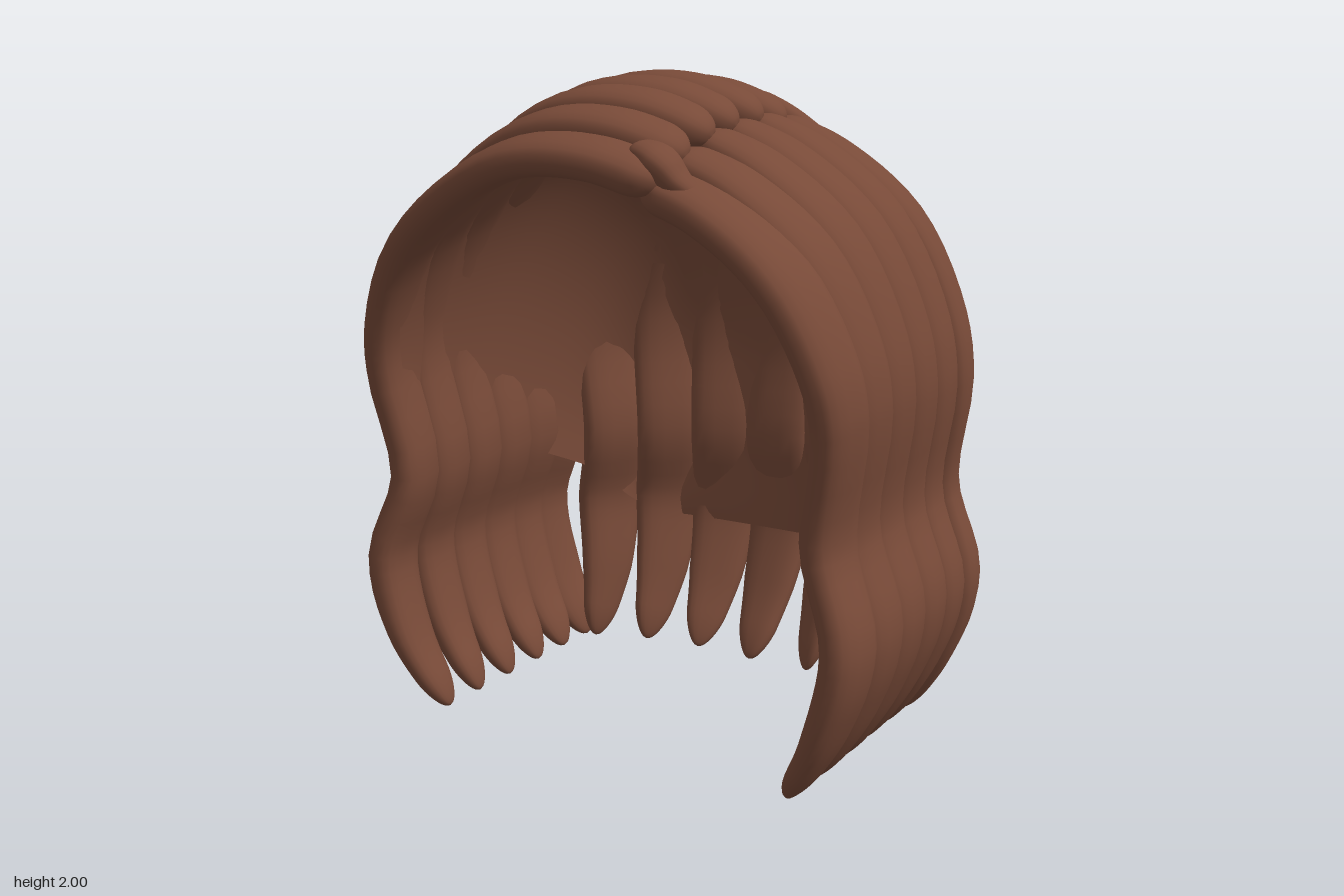
import * as THREE from 'three';

const hair = new THREE.MeshStandardMaterial({ color: 0x784a38, side: THREE.DoubleSide });
hair.name = 'brown hair';

// Indexed surface from rows of points; closed rows wrap around
function loft(rows, closed) {
  const n = rows[0].length, pos = [], idx = [];
  for (const row of rows) for (const p of row) pos.push(p.x, p.y, p.z);
  for (let i = 0; i < rows.length - 1; i++) {
    for (let j = 0; j < (closed ? n : n - 1); j++) {
      const k = (j + 1) % n;
      const a = i * n + j, b = i * n + k, c = a + n, d = b + n;
      idx.push(a, c, b, b, c, d);
    }
  }
  const g = new THREE.BufferGeometry();
  g.setAttribute('position', new THREE.Float32BufferAttribute(pos, 3));
  g.setIndex(idx);
  g.computeVertexNormals();
  return g;
}

// Flattened lock of hair following knots [x, y, z, width], facing out of the head
function lock(name, knots, thickness = 0.055) {
  const curve = new THREE.CatmullRomCurve3(knots.map(k => new THREE.Vector3(k[0], k[1], k[2])));
  const steps = 64, sides = 18, rows = [];
  const spans = knots.length - 1;
  for (let i = 0; i <= steps; i++) {
    // rows are packed towards both ends so that these stay round
    const s = i / steps, u = s - Math.sin(s * Math.PI * 2) / (Math.PI * 2) * 0.9;
    const c = curve.getPoint(u), T = curve.getTangent(u);
    const heart = new THREE.Vector3(0, Math.min(c.y, 1.1), Math.max(c.z * 0.75, -0.1));
    const N = c.clone().sub(heart);
    N.addScaledVector(T, -N.dot(T)).normalize();
    const B = new THREE.Vector3().crossVectors(T, N);
    const f = u * spans, k = Math.min(Math.floor(f), spans - 1);
    const width = THREE.MathUtils.lerp(knots[k][3], knots[k + 1][3], f - k) / 2;
    const e = Math.min(1, f / 0.4, (spans - f) / 0.45);
    const round = Math.max(0.01, Math.sqrt(Math.max(0, 1 - (1 - e) ** 2)));
    const thin = thickness * Math.min(1, 0.55 + (spans - f) * 0.3) * round;
    const row = [];
    for (let j = 0; j < sides; j++) {
      const a = j / sides * Math.PI * 2, ca = Math.cos(a), sa = Math.sin(a);
      row.push(c.clone()
        .addScaledVector(B, Math.sign(ca) * Math.abs(ca) ** 0.8 * width * round)
        .addScaledVector(N, Math.sign(sa) * Math.abs(sa) ** 0.8 * thin));
    }
    rows.push(row);
  }
  const mesh = new THREE.Mesh(loft(rows, true), hair);
  mesh.name = name;
  return mesh;
}

// Inner cap: arches from the front opening to the nape
function cap() {
  // [side z, side y, apex z, apex y, half width]
  const arches = [
    [0.47, 1.03, 0.63, 1.74, 0.71], [0.3, 0.93, 0.3, 1.87, 0.73], [0.05, 0.8, -0.1, 1.9, 0.71],
    [-0.2, 0.7, -0.42, 1.7, 0.68], [-0.4, 0.6, -0.6, 1.25, 0.6], [-0.48, 0.5, -0.6, 0.8, 0.52],
    [-0.55, 0.44, -0.58, 0.44, 0.42]
  ];
  const side = new THREE.CatmullRomCurve3(arches.map(a => new THREE.Vector3(a[4], a[1], a[0])));
  const apex = new THREE.CatmullRomCurve3(arches.map(a => new THREE.Vector3(0, a[3], a[2])));
  const rows = [];
  for (let i = 0; i <= 36; i++) {
    const s = side.getPoint(i / 36), a = apex.getPoint(i / 36), row = [];
    for (let j = 0; j <= 40; j++) {
      const t = j / 40 * Math.PI, h = Math.max(0, Math.sin(t)) ** 0.9;
      row.push(new THREE.Vector3(s.x * Math.cos(t),
        THREE.MathUtils.lerp(s.y, a.y, h), THREE.MathUtils.lerp(s.z, a.z, h)));
    }
    rows.push(row);
  }
  const mesh = new THREE.Mesh(loft(rows, false), hair);
  mesh.name = 'innerCap';
  return mesh;
}

export function createModel() {
  const model = new THREE.Group();
  model.name = 'wig';
  model.add(cap());

  // Side locks: [z at parting, z at temple, z at neck, height scale]
  const sideLocks = [
    [0.6, 0.52, 0.43, 0.81], [0.48, 0.36, 0.28, 0.89], [0.35, 0.2, 0.12, 0.95],
    [0.22, 0.04, -0.04, 0.98], [0.08, -0.12, -0.19, 0.995], [-0.06, -0.27, -0.33, 0.98]
  ];
  // Outward distance, height and width; the parting lies on the left
  const fall = [[0.62, 1.58, 0.22], [0.74, 1.3, 0.21], [0.765, 1.1, 0.2], [0.72, 0.77, 0.2],
    [0.8, 0.5, 0.2], [0.74, 0.25, 0.18], [0.61, 0.015, 0.11]];
  const overRight = [[-0.3, 1.87, 0.16], [-0.1, 1.945, 0.2], [0.14, 1.94, 0.22], [0.4, 1.8, 0.22], ...fall];
  const overLeft = [[0.22, 1.86, 0.16], [0.42, 1.77, 0.2], ...fall];

  for (const [sign, path, label] of [[-1, overRight, 'rightLock'], [1, overLeft, 'leftLock']]) {
    sideLocks.forEach(([zTop, zMid, zLow, h], n) => {
      const top = zTop - (sign > 0 ? 0.05 : 0);
      const knots = path.map(([x, y, w]) => {
        const z = y > 1.5
          ? THREE.MathUtils.mapLinear(y, 1.5, 1.9, zMid, top)
          : THREE.MathUtils.lerp(zLow, zMid, Math.max(0, (y - 0.8) / 0.7));
        const bulge = n === 0 && y < 0.7 && y > 0.2 ? 0.03 : 0;
        return [sign * x, y > 1.1 ? 1.1 + (y - 1.1) * h : y, Math.min(z, top + 0.02) + bulge, w];
      });
      model.add(lock(label + (n + 1), knots, 0.055));
    });
  }

  // Back locks fan out from the crown: [x, z] at the widest point
  const backLocks = [[0, -0.66], [0.22, -0.645], [0.42, -0.58], [0.6, -0.47]];
  // height, spread from the crown, width
  const drop = [[1.92, 0.08, 0.1], [1.83, 0.4, 0.15], [1.58, 0.77, 0.21], [1.25, 0.98, 0.25],
    [1.05, 1, 0.25], [0.75, 0.92, 0.24], [0.5, 1, 0.24], [0.25, 0.9, 0.19], [0.01, 0.75, 0.1]];
  backLocks.forEach(([X, Z], n) => {
    for (const sign of n ? [-1, 1] : [1]) {
      const knots = drop.map(([y, f, w]) => {
        const fx = y < 0.4 ? 0.97 : Math.max(f, 0.25);
        const tuck = y < 0.4 ? (1 - X) * (0.4 - y) * 0.25 : 0;
        return [sign * X * fx - (y > 1.9 ? 0.03 : 0), y, -0.12 + (Z + 0.12) * f + tuck, w];
      });
      model.add(lock('backLock' + (n + 1) + (sign > 0 ? 'Left' : 'Right'), knots, 0.05));
    }
  });

  // Small tuft folding over the front of the parting
  model.add(lock('partingTuft', [[0.2, 1.8, 0.56, 0.1], [0.28, 1.78, 0.58, 0.12],
    [0.33, 1.73, 0.57, 0.1], [0.38, 1.68, 0.54, 0.06]], 0.04));
  return model;
}
